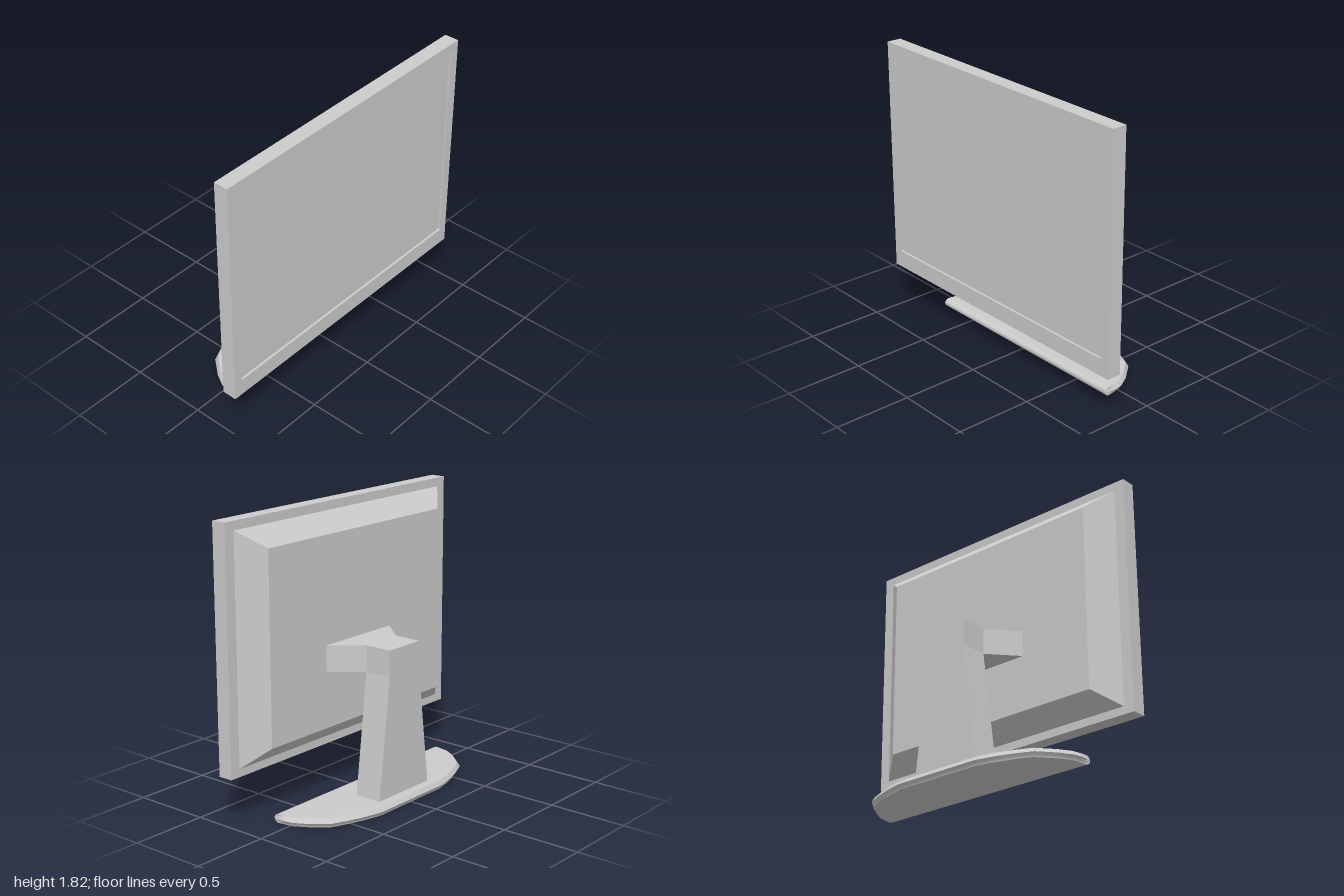
import * as THREE from 'three';
import { toCreasedNormals } from 'three/addons/utils/BufferGeometryUtils.js';

const material = new THREE.MeshStandardMaterial({ color: 0xcccccc });

function addPart(group, name, geometry) {
  const mesh = new THREE.Mesh(geometry, material);
  mesh.name = name;
  group.add(mesh);
  return mesh;
}

function polygon(points) {
  return new THREE.Shape(points.map(([x, y]) => new THREE.Vector2(x, y)));
}

function extrude(shape, depth) {
  return new THREE.ExtrudeGeometry(shape, { depth, bevelEnabled: false, curveSegments: 4 });
}

function roundedRect(x0, y0, x1, y1, r) {
  const p = new THREE.Path();
  p.absarc(x1 - r, y1 - r, r, 0, Math.PI / 2);
  p.absarc(x0 + r, y1 - r, r, Math.PI / 2, Math.PI);
  p.absarc(x0 + r, y0 + r, r, Math.PI, Math.PI * 1.5);
  p.absarc(x1 - r, y0 + r, r, Math.PI * 1.5, Math.PI * 2);
  p.closePath();
  return p;
}

// Rear housing: a box whose back face is drawn in
function housingGeometry() {
  const g = new THREE.BoxGeometry(1.86, 1.41, 0.12);
  const p = g.attributes.position;
  for (let i = 0; i < p.count; i++) {
    if (p.getZ(i) < 0) p.setXY(i, Math.sign(p.getX(i)) * 0.78, Math.sign(p.getY(i)) * 0.595);
  }
  g.translate(0, 1.055, 0.17);
  g.computeVertexNormals();
  return g;
}

// Foot: stacked outlines with a pointed rim behind and a rounded nose in front
function footGeometry() {
  const rim = [[0.775, 0.03], [0.765, -0.02], [0.72, -0.1], [0.63, -0.21],
    [0.53, -0.255], [0.42, -0.295], [0.295, -0.325]];
  // height, rim inset, front edge z
  const layers = [[0, 0.018, 0.088], [0.006, 0.016, 0.102], [0.016, 0.009, 0.112], [0.028, 0, 0.115],
    [0.04, 0.008, 0.112], [0.049, 0.014, 0.102], [0.055, 0.018, 0.088]];
  const positions = [];
  const index = [];
  const count = (rim.length + 1) * 2;
  for (const [y, inset, front] of layers) {
    const half = [[0.765, front], ...rim.map(([x, z]) => {
      const d = new THREE.Vector2(x * 0.6, z - 0.05).normalize();
      return [x - d.x * inset, z - d.y * inset];
    })];
    const ring = [...half, ...half.slice().reverse().map(([x, z]) => [-x, z])];
    for (const [x, z] of ring) positions.push(x, y, z);
  }
  for (let l = 0; l < layers.length - 1; l++) {
    for (let i = 0; i < count; i++) {
      const a = l * count + i;
      const b = l * count + (i + 1) % count;
      index.push(a, b, b + count, a, b + count, a + count);
    }
  }
  const top = (layers.length - 1) * count;
  for (let i = 1; i < count - 1; i++) {
    index.push(0, i + 1, i);
    index.push(top, top + i, top + i + 1);
  }
  const g = new THREE.BufferGeometry();
  g.setAttribute('position', new THREE.Float32BufferAttribute(positions, 3));
  g.setIndex(index);
  return toCreasedNormals(g, 0.6);
}

export function createModel() {
  const model = new THREE.Group();
  model.name = 'monitor';

  // Display: panel body, raised bezel around the screen, tapered housing
  const display = new THREE.Group();
  display.name = 'display';
  model.add(display);

  addPart(display, 'screenPanel', new THREE.BoxGeometry(2, 1.515, 0.08)).position.set(0, 1.0575, 0.27);

  const bezel = polygon([[-1, 0.3], [1, 0.3], [1, 1.815], [-1, 1.815]]);
  bezel.holes.push(roundedRect(-0.94, 0.41, 0.94, 1.77, 0.01));
  addPart(display, 'bezel', extrude(bezel, 0.015)).position.z = 0.31;

  addPart(display, 'rearHousing', housingGeometry());

  // Stand: flared arm, tapered column, foot
  const stand = new THREE.Group();
  stand.name = 'stand';
  model.add(stand);

  const arm = polygon([[-0.14, -0.07], [0.14, -0.07], [0.295, 0.11], [-0.295, 0.11]]);
  addPart(stand, 'arm', extrude(arm, 0.165).rotateX(Math.PI / 2)).position.y = 0.98;

  const column = polygon([[-0.235, 0.05], [0.235, 0.05], [0.14, 0.815], [0.14, 0.98],
    [-0.14, 0.98], [-0.14, 0.815]]);
  addPart(stand, 'column', extrude(column, 0.18)).position.z = -0.25;

  addPart(stand, 'foot', footGeometry());

  return model;
}
